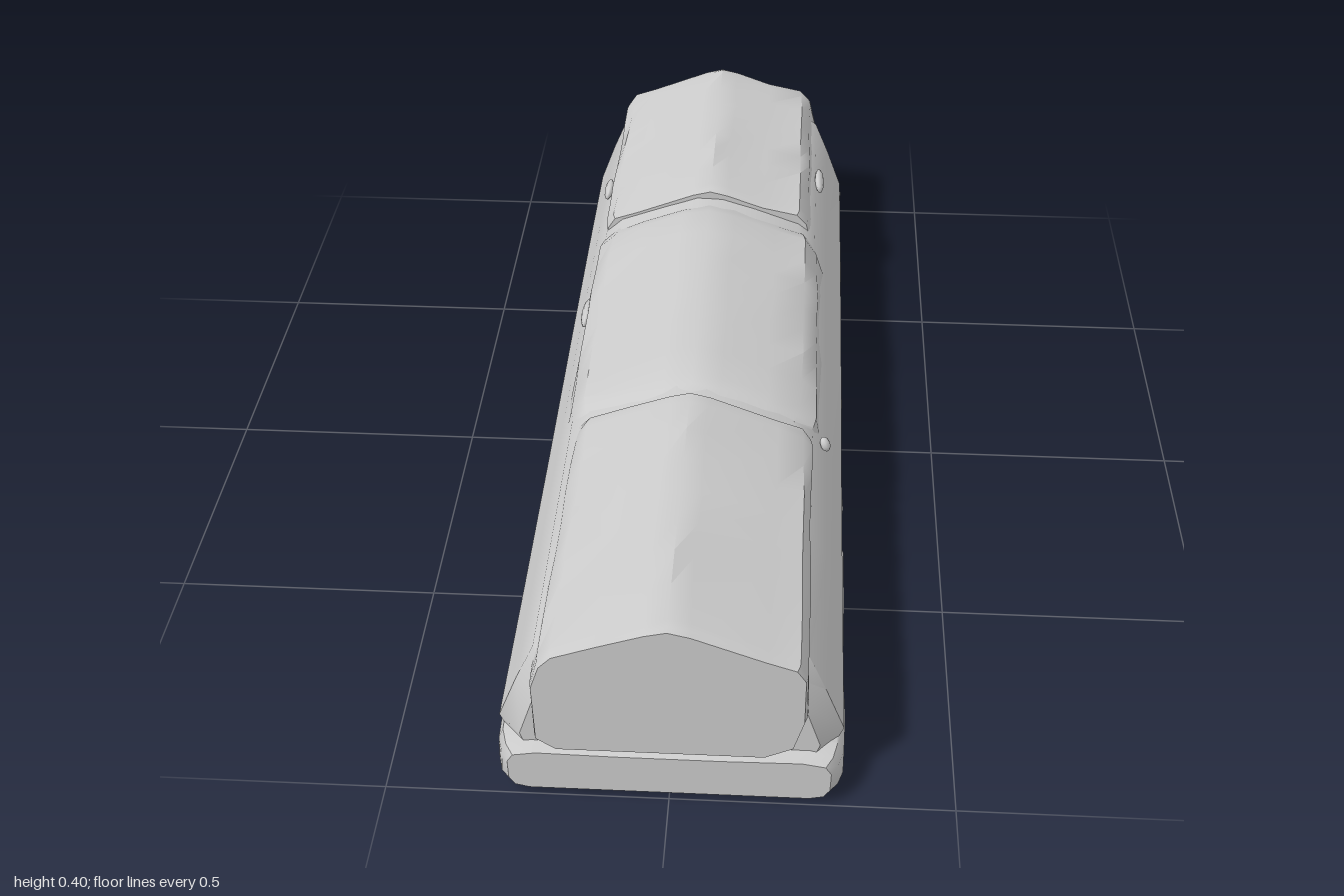
import * as THREE from 'three';
import { toCreasedNormals } from 'three/addons/utils/BufferGeometryUtils.js';

const material = new THREE.MeshStandardMaterial({ color: 0xcccccc });

// Smooth, repeatable unevenness for hewn stone
const wobble = (a, b) => Math.sin(a * 2.3 + b * 5.1) * 0.6 + Math.sin(a * 5.7 - b * 3.3) * 0.4;

// Closed loft along z. Profile runs counter-clockwise seen from +z.
// ends: [z, x scale, y scale] stations; cy is the height the scaling is centred on.
function loft(profile, stations, cy, rough, seed) {
  const n = profile.length, pos = [], idx = [];
  stations.forEach(([z, sx, sy], i) => {
    const inner = i > 0 && i < stations.length - 1 ? 1 : 0;
    profile.forEach(([x, y], j) => {
      const w = inner * rough * wobble(j + seed, z * 2 + seed);
      const dy = y - cy;
      pos.push(x * sx - Math.sign(x) * Math.abs(w), Math.max(0, cy + dy * sy - Math.sign(dy) * Math.abs(w) * (y < 0.02 ? 0 : 1)), z);
    });
  });
  for (let i = 0; i < stations.length - 1; i++) {
    for (let j = 0; j < n; j++) {
      const a = i * n + j, b = i * n + (j + 1) % n;
      idx.push(a, b, b + n, a, b + n, a + n);
    }
  }
  // flat end faces
  const last = (stations.length - 1) * n, c = pos.length / 3;
  pos.push(0, cy, stations[0][0], 0, cy, stations[stations.length - 1][0]);
  for (let j = 0; j < n; j++) {
    const k = (j + 1) % n;
    idx.push(c, k, j, c + 1, last + j, last + k);
  }
  const g = new THREE.BufferGeometry();
  g.setAttribute('position', new THREE.Float32BufferAttribute(pos, 3));
  g.setIndex(idx);
  return toCreasedNormals(g, 0.6);
}

// Stations from z0 to z1 with softened ends
function stations(z0, z1, bevel, sx, sy, steps = 7) {
  const list = [[z0, sx, sy], [z0 + bevel * 0.4, (1 + sx) / 2 + 0.01, (1 + sy) / 2 + 0.01]];
  for (let i = 0; i <= steps; i++) {
    list.push([THREE.MathUtils.lerp(z0 + bevel, z1 - bevel, i / steps), 1, 1]);
  }
  list.push([z1 - bevel * 0.4, (1 + sx) / 2 + 0.01, (1 + sy) / 2 + 0.01], [z1, sx, sy]);
  return list;
}

export function createModel() {
  const group = new THREE.Group();
  const add = (name, geometry) => {
    const mesh = new THREE.Mesh(geometry, material);
    mesh.name = name;
    group.add(mesh);
  };

  // Flared mortar core joining all the stones
  const core = [
    [-0.27, 0.012], [0.27, 0.012], [0.28, 0.06], [0.302, 0.12], [0.268, 0.215], [0.236, 0.29],
    [0.2, 0.322], [0.1, 0.358], [0.03, 0.382], [-0.03, 0.382], [-0.1, 0.358], [-0.2, 0.322],
    [-0.236, 0.29], [-0.268, 0.215], [-0.302, 0.12], [-0.28, 0.06],
  ];
  add('core', loft(core, [
    [-0.975, 0.86, 0.96], [-0.93, 1, 1], [-0.6, 1, 1], [-0.2, 1, 1], [0.2, 1, 1],
    [0.6, 1, 1], [0.93, 1, 1], [0.975, 0.86, 0.96],
  ], 0.2, 0.003, 1));

  // Gabled capstones: [name, z0, z1, profile]
  const endStone = [
    [-0.2, 0.11], [0.17, 0.11], [0.22, 0.135], [0.238, 0.2], [0.238, 0.3], [0.222, 0.325], [0.17, 0.343],
    [0.04, 0.394], [0, 0.404], [-0.04, 0.394], [-0.12, 0.365], [-0.2, 0.334], [-0.222, 0.31],
    [-0.238, 0.26], [-0.235, 0.135],
  ];
  const middleStone = [
    [-0.22, 0.13], [0.22, 0.13], [0.25, 0.18], [0.256, 0.24], [0.244, 0.295], [0.215, 0.328], [0.15, 0.352],
    [0.06, 0.386], [0, 0.398], [-0.06, 0.386], [-0.15, 0.352], [-0.215, 0.328], [-0.244, 0.295],
    [-0.256, 0.24], [-0.25, 0.18],
  ];
  const backStone = endStone.map(([x, y]) => [-x, y]).reverse();
  // The outer ridge corner of the back stone stands a little proud
  const proud = backStone.map(([x, y]) => (x > 0.19 && y > 0.3 ? [x, y + 0.014] : [x, y]));
  add('frontCapstone', loft(endStone, stations(0.345, 1, 0.03, 0.97, 0.965), 0.23, 0.005, 2));
  add('middleCapstone', loft(middleStone, stations(-0.375, 0.32, 0.045, 0.93, 0.9), 0.23, 0.006, 5));
  add('backCapstone', loft(proud, stations(-1, -0.405, 0.03, 0.97, 0.965), 0.23, 0.005, 8));

  // Rounded base slabs
  const slab = [
    [-0.265, 0], [0.265, 0], [0.292, 0.008], [0.304, 0.03], [0.305, 0.085], [0.294, 0.107],
    [0.25, 0.117], [0.1, 0.114], [-0.1, 0.114], [-0.25, 0.117], [-0.294, 0.107], [-0.305, 0.085],
    [-0.304, 0.03], [-0.292, 0.008],
  ];
  [['frontSlab', 0.38, 1, 3], ['middleSlab', -0.385, 0.35, 6], ['backSlab', -1, -0.41, 9]]
    .forEach(([name, z0, z1, seed]) =>
      add(name, loft(slab, stations(z0, z1, 0.05, 0.92, 0.74), 0.06, 0.005, seed)));

  // Small worn chips set into the sloping sides: [x, y, z, length]
  [[0.245, 0.285, -0.66, 0.1], [0.262, 0.25, 0.3, 0.025], [-0.25, 0.27, -0.1, 0.1], [-0.25, 0.27, -0.62, 0.08]]
    .forEach(([x, y, z, length], i) => {
      const g = new THREE.SphereGeometry(1, 10, 6);
      g.scale(0.01, 0.016, length / 2);
      g.rotateZ(Math.sign(x) * 0.35);
      g.translate(x, y, z);
      add('chip' + (i + 1), g);
    });

  return group;
}
